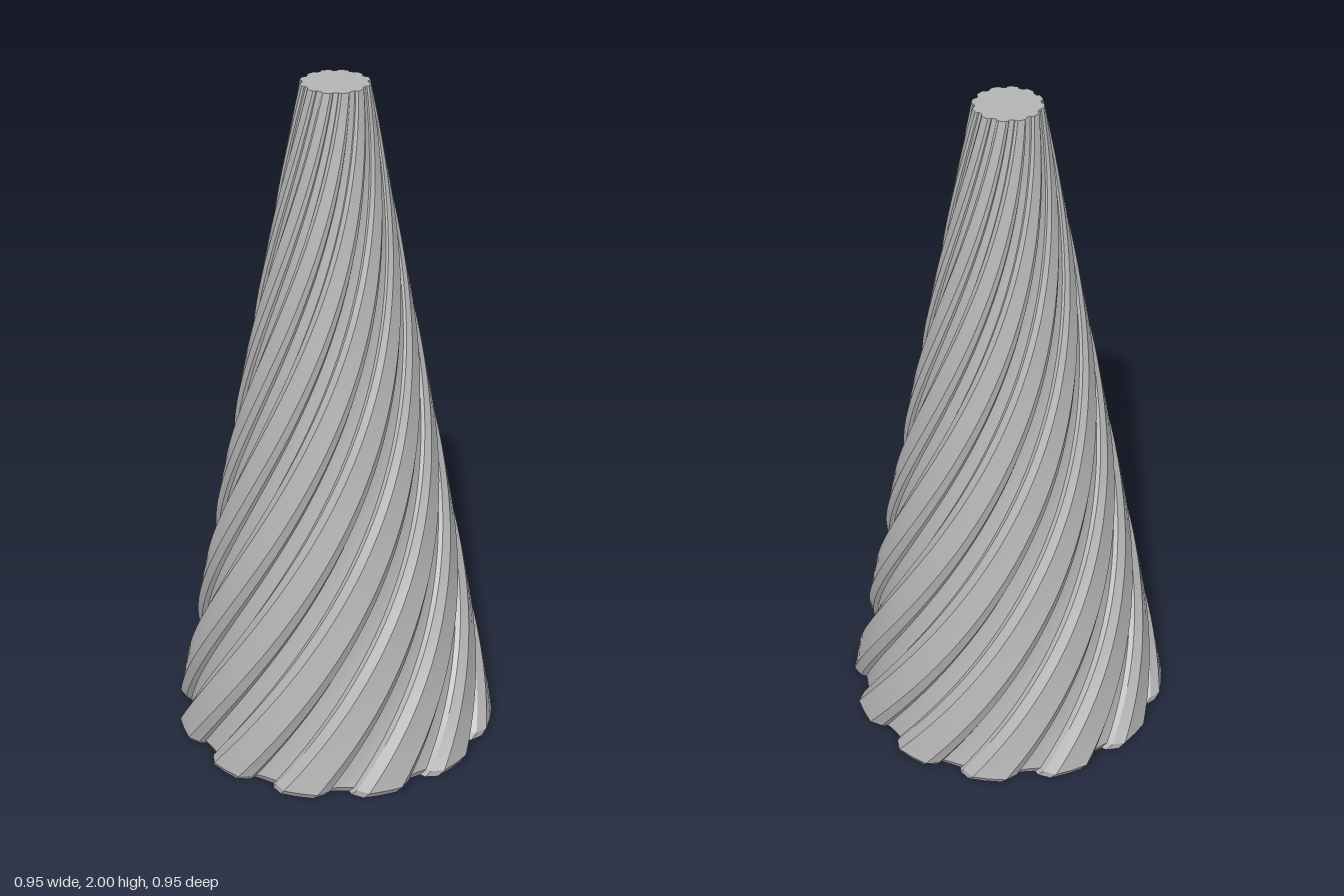
import * as THREE from 'three';
import { mergeGeometries } from 'three/addons/utils/BufferGeometryUtils.js';

const RIBS = 12, HEIGHT = 2, BASE_R = 0.48, TOP_R = 0.095, BEVEL = 0.02;
const TWIST = Math.PI, PHASE = 1.5, STEPS = 64;

// One rib and the groove after it: runs of [degrees, radius factor], each smooth in itself
const RUNS = [
  [[-6, 1], [0, 1], [6, 1]],            // rib face
  [[6, 1], [10, 0.955]],                // chamfer
  [[10, 0.955], [10.8, 0.92]],          // groove wall
  [[10.8, 0.92], [15, 0.915], [19.2, 0.92]], // groove floor
  [[19.2, 0.92], [20, 0.955]],          // groove wall
  [[20, 0.955], [24, 1]],               // chamfer
];

// Point on the twisted cone
function point([deg, f], y, shrink = 1) {
  const a = THREE.MathUtils.degToRad(deg + PHASE) + TWIST * y / HEIGHT;
  const r = THREE.MathUtils.lerp(BASE_R, TOP_R, y / HEIGHT) * f * shrink;
  return [Math.sin(a) * r, y, Math.cos(a) * r];
}

// Skin between rows of points, rows running upwards
function strip(rows) {
  const n = rows[0].length, index = [];
  for (let j = 0; j < rows.length - 1; j++) {
    for (let i = 0; i < n - 1; i++) {
      const a = j * n + i, b = a + 1, c = b + n, d = a + n;
      index.push(a, b, c, a, c, d);
    }
  }
  return build(rows.flat(2), index);
}

function build(positions, index) {
  const g = new THREE.BufferGeometry();
  g.setAttribute('position', new THREE.Float32BufferAttribute(positions, 3));
  g.setIndex(index);
  g.computeVertexNormals();
  return g;
}

// Flat end following the ribbed outline
function cap(y, shrink, up) {
  const ring = [], index = [];
  for (let k = 0; k < RIBS; k++) {
    for (const run of RUNS) {
      for (const [d, f] of run.slice(0, -1)) ring.push(point([d + k * 30, f], y, shrink));
    }
  }
  const n = ring.length;
  for (let i = 0; i < n; i++) {
    const a = i + 1, b = (i + 1) % n + 1;
    index.push(0, up ? a : b, up ? b : a);
  }
  return build([0, y, 0, ...ring.flat()], index);
}

export function createModel() {
  const group = new THREE.Group();
  group.name = 'twistedFlutedCone';
  const grey = new THREE.MeshStandardMaterial({ color: 0xb4b4b4 });
  grey.name = 'grey';

  const heights = Array.from({ length: STEPS + 1 }, (_, i) => BEVEL + (HEIGHT - BEVEL) * i / STEPS);
  const flutes = [], bevels = [];
  for (let k = 0; k < RIBS; k++) {
    for (const run of RUNS) {
      const pts = run.map(([d, f]) => [d + k * 360 / RIBS, f]);
      flutes.push(strip(heights.map(y => pts.map(p => point(p, y)))));
      bevels.push(strip([pts.map(p => point(p, 0, 0.97)), pts.map(p => point(p, BEVEL))]));
    }
  }

  const parts = {
    spiralRibs: mergeGeometries(flutes),
    baseBevel: mergeGeometries(bevels),
    topCap: cap(HEIGHT, 1, true),
    bottomCap: cap(0, 0.97, false),
  };
  for (const [name, geometry] of Object.entries(parts)) {
    const mesh = new THREE.Mesh(geometry, grey);
    mesh.name = name;
    group.add(mesh);
  }
  return group;
}
